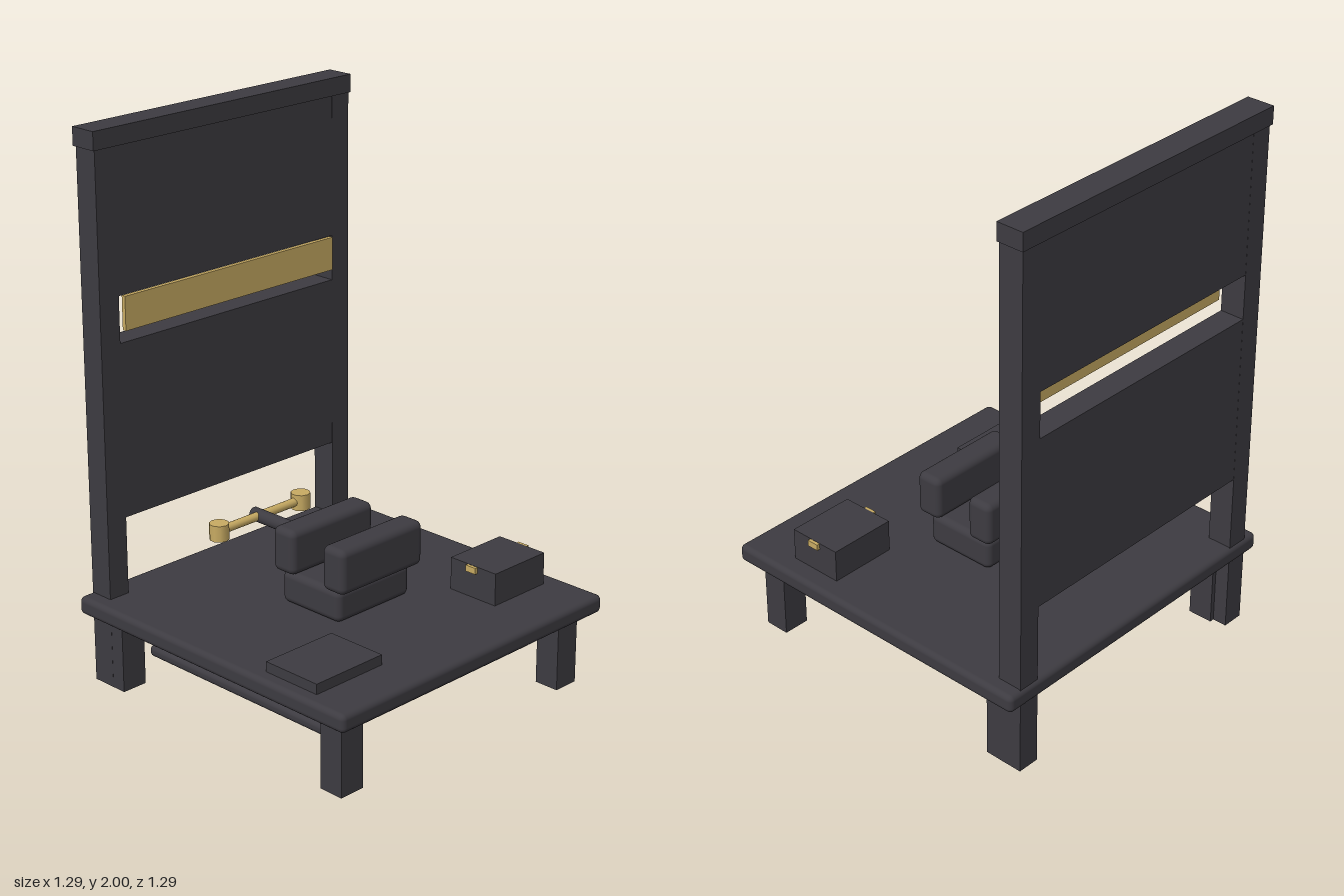
import * as THREE from 'three';
import { RoundedBoxGeometry } from 'three/addons/geometries/RoundedBoxGeometry.js';

export function createModel() {
  const model = new THREE.Group();
  model.name = 'workbench';

  const charcoal = new THREE.MeshStandardMaterial({ color: 0x3d3b41 });
  charcoal.name = 'charcoal';
  const brass = new THREE.MeshStandardMaterial({ color: 0xc8ab63 });
  brass.name = 'brass';

  const add = (name, geometry, material, x, y, z) => {
    const mesh = new THREE.Mesh(geometry, material);
    mesh.name = name;
    mesh.position.set(x, y, z);
    model.add(mesh);
    return mesh;
  };

  // Box given by its extents; a radius rounds the edges
  const block = (name, material, [x0, x1], [y0, y1], [z0, z1], radius = 0) => {
    const size = [x1 - x0, y1 - y0, z1 - z0];
    const geometry = radius
      ? new RoundedBoxGeometry(...size, 3, radius)
      : new THREE.BoxGeometry(...size);
    return add(name, geometry, material, (x0 + x1) / 2, (y0 + y1) / 2, (z0 + z1) / 2);
  };

  // Table: top, lower shelf and legs
  block('tableTop', charcoal, [-0.645, 0.645], [0.27, 0.337], [-0.645, 0.645], 0.02);
  block('lowerShelf', charcoal, [-0.5, 0.5], [0.123, 0.165], [-0.45, 0.45], 0.018);
  for (const side of [-1, 1]) {
    const label = side > 0 ? 'left' : 'right';
    for (const end of [-1, 1]) {
      add(`${label}${end > 0 ? 'Front' : 'Back'}Leg`,
        new THREE.BoxGeometry(0.1, 0.28, 0.095), charcoal, side * 0.537, 0.14, end * 0.534);
    }
    // Posts run from the floor to the top rail
    add(`${label}Post`, new THREE.BoxGeometry(0.083, 1.94, 0.093), charcoal,
      side * 0.546, 0.97, -0.589);
  }

  // Back board: rail, two panels and the brass strip across the gap
  block('topRail', charcoal, [-0.595, 0.595], [1.935, 2], [-0.642, -0.538]);
  block('upperPanel', charcoal, [-0.505, 0.505], [1.422, 1.935], [-0.635, -0.543]);
  block('lowerPanel', charcoal, [-0.505, 0.505], [0.622, 1.255], [-0.635, -0.543]);
  block('brassStrip', brass, [-0.492, 0.49], [1.3, 1.422], [-0.542, -0.526]);

  // Vise: base, two jaws, screw and handle
  block('viseBase', charcoal, [-0.178, 0.175], [0.337, 0.457], [-0.112, 0.165], 0.025);
  block('viseFrontJaw', charcoal, [-0.2, 0.198], [0.457, 0.622], [0.103, 0.205], 0.025);
  block('viseBackJaw', charcoal, [-0.2, 0.198], [0.457, 0.622], [-0.135, -0.033], 0.025);
  const screw = add('viseScrew', new THREE.CylinderGeometry(0.025, 0.025, 0.36, 16),
    charcoal, 0, 0.518, -0.255);
  screw.rotation.x = Math.PI / 2;
  const bar = add('viseHandle', new THREE.CylinderGeometry(0.016, 0.016, 0.4, 12),
    brass, 0, 0.521, -0.402);
  bar.rotation.z = Math.PI / 2;
  for (const side of [-1, 1]) {
    add('viseHandleKnob', new THREE.CylinderGeometry(0.036, 0.036, 0.06, 10),
      brass, side * 0.2, 0.521, -0.402);
  }

  // Flat plate and strapped box lying on the top
  block('flatPlate', charcoal, [-0.593, -0.292], [0.335, 0.374], [0.244, 0.477]);
  block('smallBox', charcoal, [0.31, 0.568], [0.335, 0.457], [0.234, 0.44]);
  block('boxStrap', brass, [0.298, 0.58], [0.433, 0.456], [0.312, 0.357]);

  return model;
}
